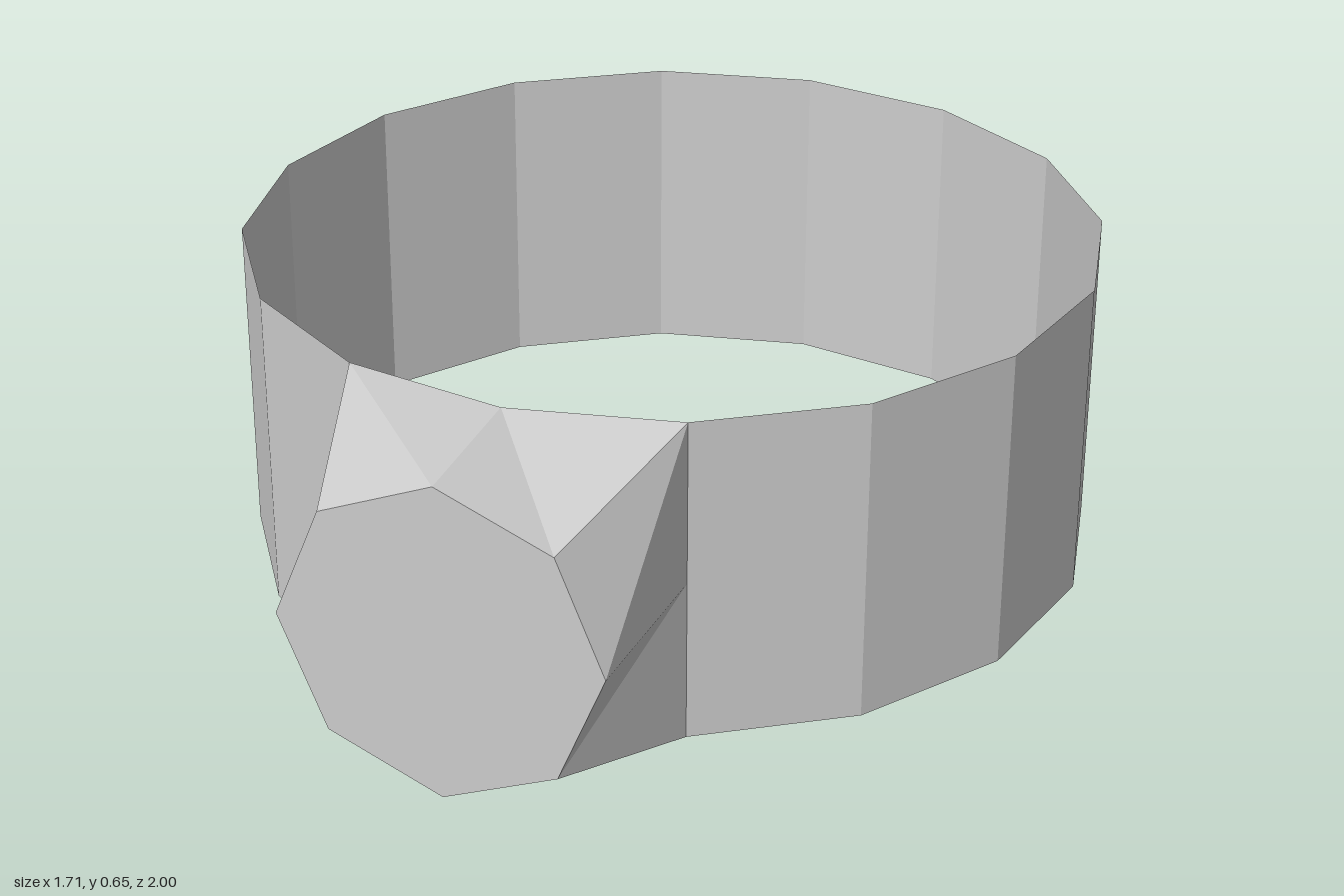
import * as THREE from 'three';

const SIDES = 16, RADIUS = 0.855, HEIGHT = 0.65, CENTRE_Z = -0.145;
const STEP = (Math.PI * 2) / SIDES;
const FACE_RADIUS = 0.313, FACE_Z = 1, MID_Y = HEIGHT / 2;

// Eight-point loops: the gap in the band and the octagonal face
function bezelLoops() {
  const base = [], rim = [];
  const halfWidth = RADIUS * Math.sin(STEP);
  for (let i = 0; i < 8; i++) {
    const a = (i * Math.PI) / 4, c = Math.cos(a), s = Math.sin(a);
    const x = Math.round(c) * halfWidth;
    const z = CENTRE_Z + Math.sqrt(RADIUS * RADIUS - x * x);
    base.push([x, MID_Y + Math.round(s) * MID_Y, z]);
    rim.push([c * FACE_RADIUS, MID_Y + s * FACE_RADIUS, FACE_Z]);
  }
  return { base, rim };
}

export function createModel() {
  const group = new THREE.Group();
  group.name = 'signetRing';
  const metal = new THREE.MeshStandardMaterial({ color: 0xcccccc, flatShading: true, side: THREE.DoubleSide });
  metal.name = 'light grey metal';

  const add = (name, geometry) => {
    const mesh = new THREE.Mesh(geometry, metal);
    mesh.name = name;
    group.add(mesh);
    return mesh;
  };

  // Thin open band, with its two front segments left out
  add('band', new THREE.CylinderGeometry(RADIUS, RADIUS, HEIGHT, SIDES - 2, 1, true, STEP, Math.PI * 2 - 2 * STEP))
    .position.set(0, MID_Y, CENTRE_Z);

  // Hollow bezel joining the gap to the face
  const { base, rim } = bezelLoops();
  const points = [];
  for (let i = 0; i < 8; i++) {
    const j = (i + 1) % 8;
    points.push(...rim[i], ...base[i], ...base[j], ...rim[i], ...base[j], ...rim[j]);
  }
  const bezel = new THREE.BufferGeometry();
  bezel.setAttribute('position', new THREE.Float32BufferAttribute(points, 3));
  bezel.computeVertexNormals();
  add('bezel', bezel);

  // Flat octagonal face
  add('face', new THREE.CircleGeometry(FACE_RADIUS, 8)).position.set(0, MID_Y, FACE_Z);

  return group;
}
